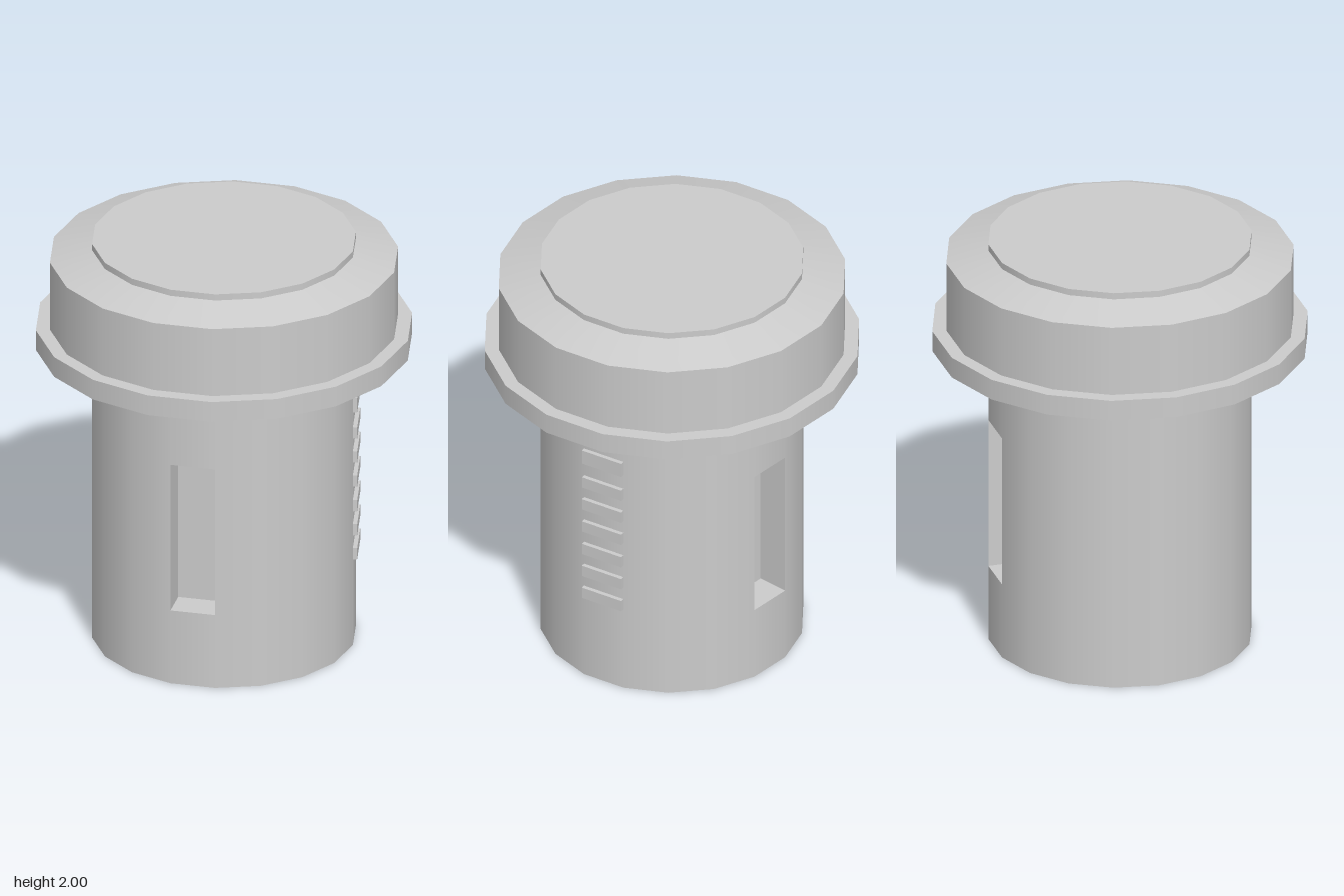
import * as THREE from 'three';

const SIDES = 18;
const STEP = (Math.PI * 2) / SIDES;
const R = 0.61; // body radius
const TOP = 2;
const SLOT = { bottom: 0.37, top: 1.11, depth: 0.15 };

const material = new THREE.MeshStandardMaterial({ color: 0xcccccc });

function add(parent, name, geometry) {
  const mesh = new THREE.Mesh(geometry, material);
  mesh.name = name;
  parent.add(mesh);
  return mesh;
}

// Conical band between two heights; by default a full turn with a corner on the x axis
function band(rBottom, rTop, y0, y1, open = true, segments = SIDES, start = Math.PI / 2) {
  return new THREE.CylinderGeometry(rTop, rBottom, y1 - y0, segments, 1, open, start, segments * STEP)
    .translate(0, (y0 + y1) / 2, 0);
}

// Box seen from inside, open towards +z
function recess(width, height, depth) {
  const geometry = new THREE.BoxGeometry(width, height, depth).scale(1, 1, -1);
  geometry.setIndex(Array.from(geometry.index.array).slice(0, 30));
  geometry.computeVertexNormals();
  return geometry;
}

export function createModel() {
  const model = new THREE.Group();
  model.name = 'plug';

  const faceWidth = 2 * R * Math.sin(STEP / 2);
  const apothem = R * Math.cos(STEP / 2);

  // Body: each half has eight whole sides plus one side holding a slot
  for (const [side, turn] of [['front', 0], ['back', Math.PI]]) {
    const half = new THREE.Group();
    half.name = side + 'BodyHalf';
    half.rotation.y = turn;
    model.add(half);
    add(half, 'bodyWall', band(R, R, 0, TOP, true, 8, STEP / 2));
    add(half, 'wallBelowSlot', band(R, R, 0, SLOT.bottom, true, 1, -STEP / 2));
    add(half, 'wallAboveSlot', band(R, R, SLOT.top, TOP, true, 1, -STEP / 2));
    add(half, 'slot', recess(faceWidth, SLOT.top - SLOT.bottom, SLOT.depth))
      .position.set(0, (SLOT.bottom + SLOT.top) / 2, apothem - SLOT.depth / 2);
  }

  // Flat ends of the body
  const disc = new THREE.CircleGeometry(R, SIDES);
  const bottom = add(model, 'bodyBottom', disc);
  bottom.rotation.x = Math.PI / 2;
  const top = add(model, 'bodyTop', disc);
  top.rotation.x = -Math.PI / 2;
  top.position.y = TOP;

  // Flange, collar and sloping shoulder around the head
  add(model, 'flange', band(0.87, 0.87, 1.475, 1.575, false));
  add(model, 'collar', band(0.805, 0.805, 1.575, 1.915));
  add(model, 'shoulder', band(0.805, 0.57, 1.915, 1.98));

  // Column of ribs on the side just behind the +x corner
  const ribs = new THREE.Group();
  ribs.name = 'ribs';
  ribs.rotation.y = Math.PI / 2 + STEP / 2;
  model.add(ribs);
  const thickness = 0.02;
  const centres = [0.464, 0.586, 0.708, 0.833, 0.956, 1.078, 1.219, 1.366];
  centres.forEach((y, i) => {
    const height = i < 6 ? 0.057 : 0.073; // the top two are taller
    add(ribs, 'rib', new THREE.BoxGeometry(faceWidth, height, thickness))
      .position.set(0, y, apothem + thickness / 2);
  });

  return model;
}
